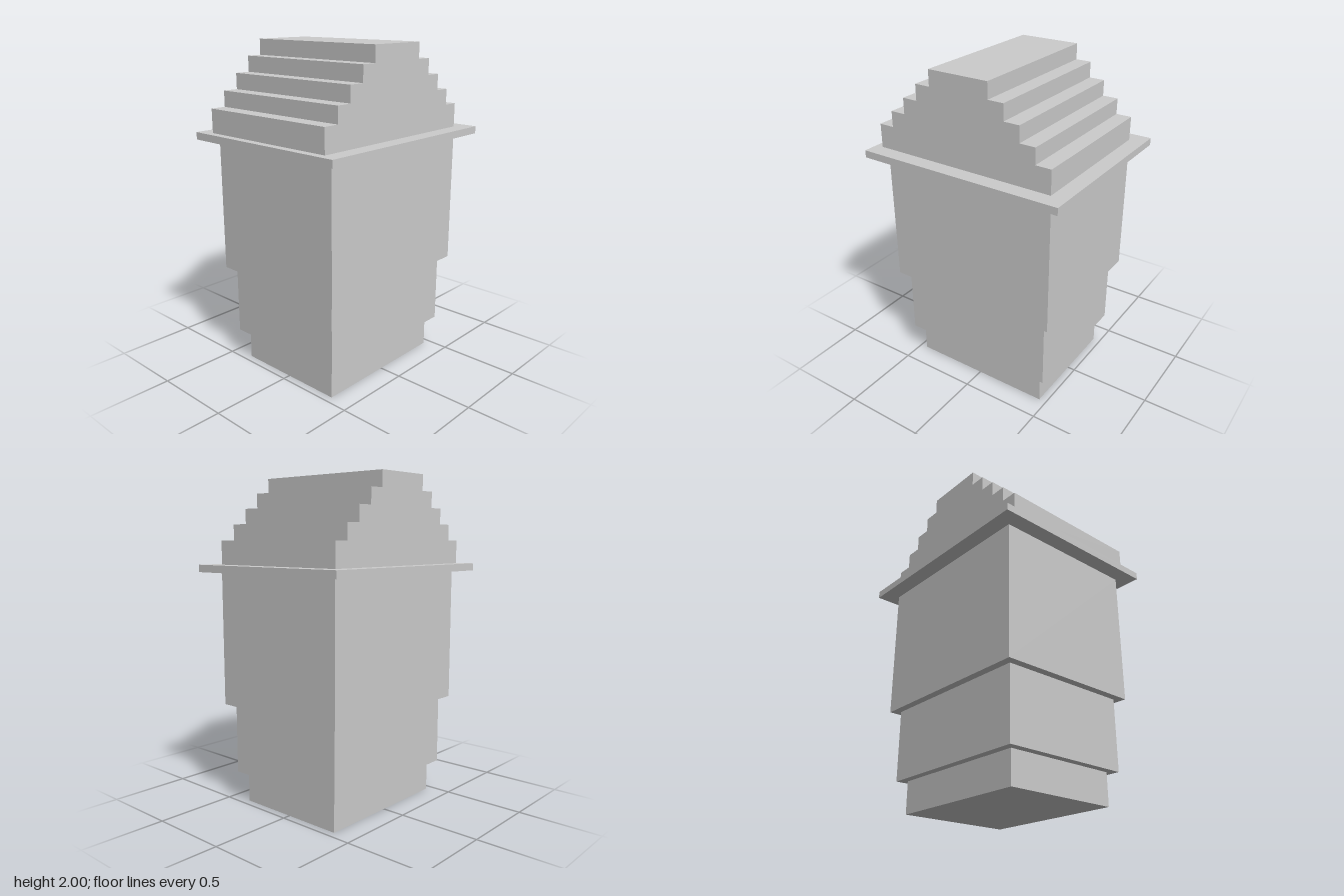
import * as THREE from 'three';

const material = new THREE.MeshStandardMaterial({ color: 0xcccccc, flatShading: true });

export function createModel() {
  const group = new THREE.Group();

  // Stacked blocks, each wider than the one below: name, width, depth, bottom, top
  const blocks = [
    ['base', 0.907, 0.716, 0, 0.193],
    ['lowerBody', 1.002, 0.812, 0.193, 0.624],
    ['upperBody', 1.098, 0.907, 0.624, 1.433],
    ['eavesSlab', 1.288, 1.098, 1.433, 1.477],
  ];
  for (const [name, width, depth, bottom, top] of blocks) {
    const block = new THREE.Mesh(new THREE.BoxGeometry(width, top - bottom, depth), material);
    block.position.y = (bottom + top) / 2;
    block.name = name;
    group.add(block);
  }

  // Stepped gable roof: a mirrored stair profile extruded front to back
  const steps = 5, tread = 0.0955, riser = 0.095, halfWidth = 0.572;
  const roofBottom = 1.477, firstTop = 1.62, roofDepth = 0.907;
  const right = [new THREE.Vector2(halfWidth, roofBottom)];
  for (let i = 0; i < steps; i++) {
    const x = halfWidth - i * tread, y = firstTop + i * riser;
    right.push(new THREE.Vector2(x, y));
    if (i < steps - 1) right.push(new THREE.Vector2(x - tread, y));
  }
  const left = right.map((p) => new THREE.Vector2(-p.x, p.y)).reverse();
  const roof = new THREE.Mesh(
    new THREE.ExtrudeGeometry(new THREE.Shape([...right, ...left]), { depth: roofDepth, bevelEnabled: false }),
    material
  );
  // The roof sits slightly off centre on the slab
  roof.position.set(-0.025, 0, -roofDepth / 2);
  roof.name = 'steppedRoof';
  group.add(roof);

  return group;
}
